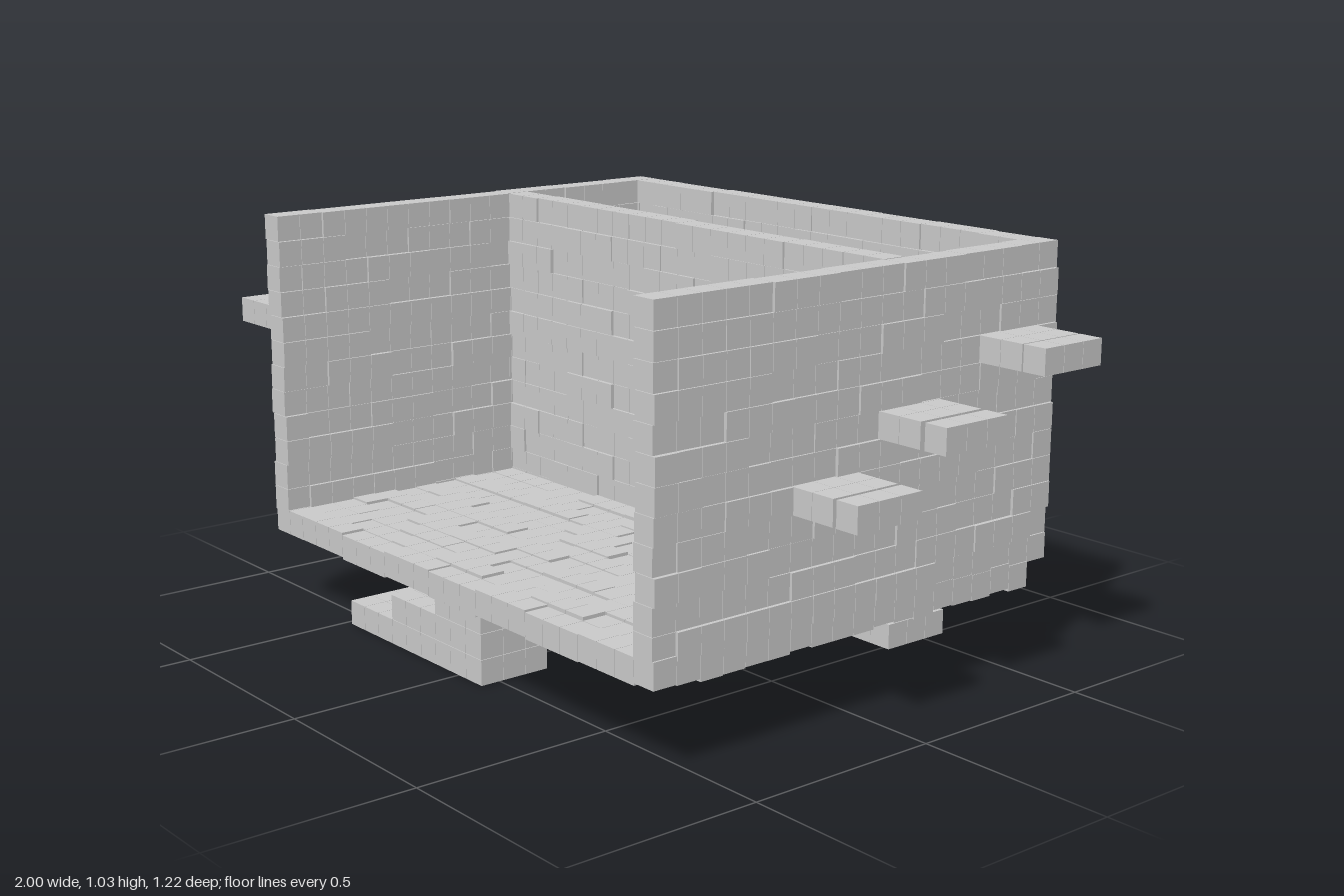
import * as THREE from 'three';
import { mergeGeometries } from 'three/addons/utils/BufferGeometryUtils.js';

const CELL = 0.0642;            // pitch of the block grid
const SIZE = CELL - 0.0012;     // block edge, leaving a hairline joint
const X0 = -0.74, Z0 = -0.61, FLOOR_Y = 0.203;

function seeded(seed) {
  return () => {
    seed = (seed * 1664525 + 1013904223) % 4294967296;
    return seed / 4294967296;
  };
}

export function createModel() {
  const model = new THREE.Group();
  const material = new THREE.MeshStandardMaterial({ color: 0xcccccc, flatShading: true });
  const random = seeded(17);

  // One part made of cubes; keep(i,j,k) can omit cells, shift(i,j,k) displaces them
  function blocks(name, origin, counts, { keep = () => true, shift = () => [0, 0, 0] } = {}) {
    const cubes = [];
    for (let i = 0; i < counts[0]; i++)
      for (let j = 0; j < counts[1]; j++)
        for (let k = 0; k < counts[2]; k++) {
          if (!keep(i, j, k)) continue;
          const s = shift(i, j, k);
          const p = [i, j, k].map((n, a) => origin[a] + (n + 0.5) * CELL + s[a]);
          cubes.push(new THREE.BoxGeometry(SIZE, SIZE, SIZE).translate(...p));
        }
    const mesh = new THREE.Mesh(mergeGeometries(cubes), material);
    mesh.name = name;
    model.add(mesh);
  }

  // Uneven masonry: short runs of cubes in each course share one offset along the normal
  function masonry(normal, run, course, amount) {
    const offsets = new Map();
    return (...cell) => {
      const row = cell[course];
      const key = `${row}:${Math.floor((cell[run] + (row * 2) % 3) / 3)}`;
      if (!offsets.has(key)) offsets.set(key, (random() - 0.5) * 2 * amount);
      const s = [0, 0, 0];
      s[normal] = offsets.get(key);
      return s;
    };
  }

  // Floor, one row short at the back
  blocks('floor', [X0, FLOOR_Y, Z0 + CELL], [24, 1, 18], { shift: masonry(1, 0, 2, 0.005) });

  // Side walls, back wall and inner partition
  const wallY = FLOOR_Y + CELL - 0.008;
  for (const [name, x] of [['rightWall', X0], ['leftWall', X0 + 23 * CELL]])
    blocks(name, [x, wallY, Z0], [1, 12, 19], { shift: masonry(0, 2, 1, 0.005) });
  for (const [name, row] of [['backWall', 0], ['partition', 7]])
    blocks(name, [X0 + CELL, wallY, Z0 + row * CELL], [22, 12, 1], { shift: masonry(2, 0, 1, 0.005) });

  // Ledges on the model's left, outermost row slightly detached
  for (const [y, z, gap] of [[0.773, -0.542, 0.003], [0.644, -0.223, 0.012], [0.517, 0.034, 0.009]])
    blocks('leftLedge', [0.797, y, z], [3, 1, 3], { shift: i => [i === 2 ? gap : 0, 0, 0] });

  // Ledges on the model's right: bottom, middle and the larger top one
  for (const [y, z, n] of [[0.453, -0.16, 3], [0.583, 0.031, 3], [0.71, 0.29, 4]])
    blocks('rightLedge', [X0 - n * CELL, y, z], [n, 1, n]);

  // Stepped feet, flaring in opposite directions
  blocks('frontFoot', [-0.482, 0, 0.36], [9, 3, 3], { keep: (i, j) => i >= j * 3 });
  blocks('backFoot', [-0.032, 0.014, -0.537], [9, 3, 3], { keep: (i, j) => i < 9 - j * 3 });

  return model;
}
